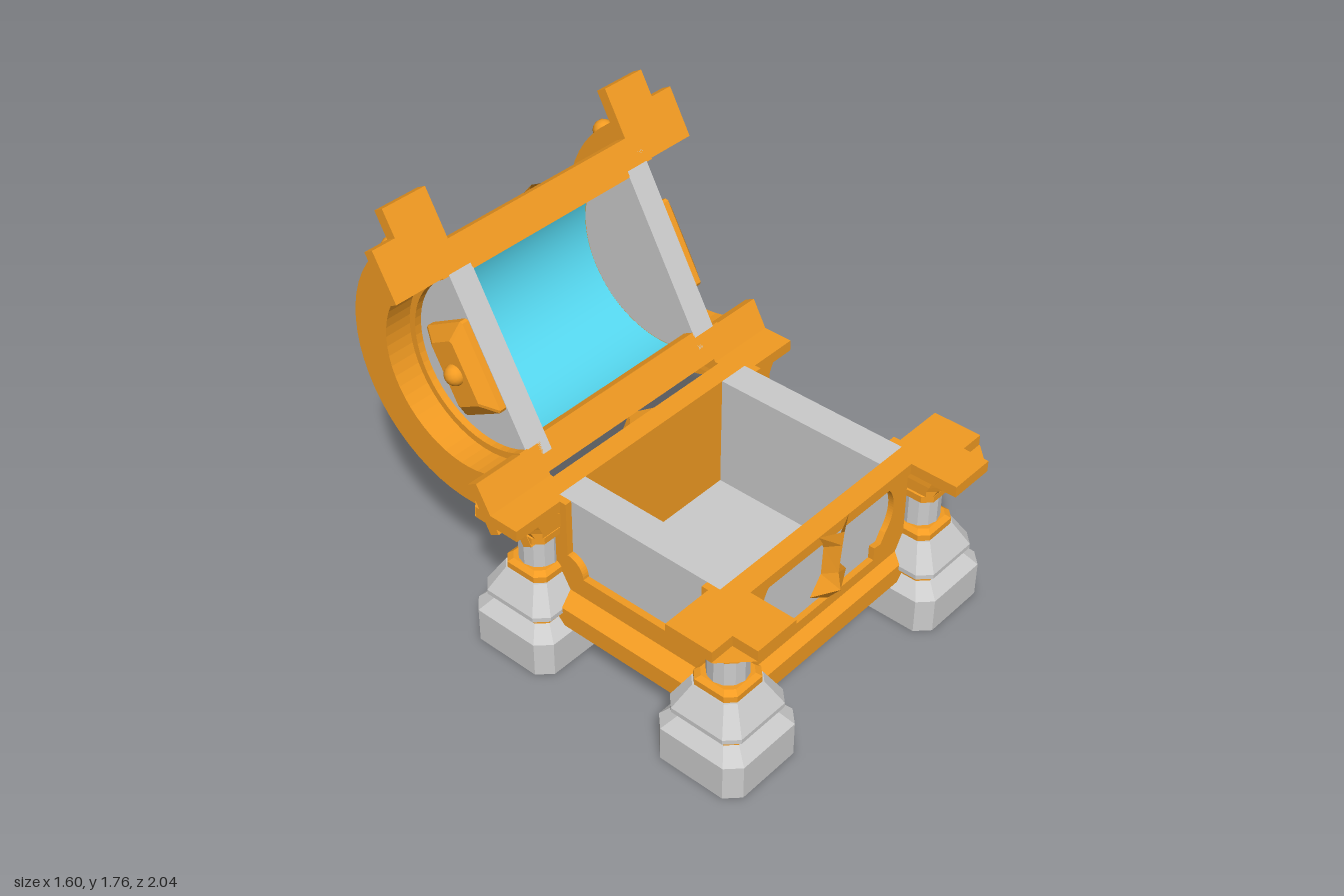
import * as THREE from 'three';

const mat = (color) => new THREE.MeshStandardMaterial({ color, flatShading: true, side: THREE.DoubleSide });

// Stack of chamfered rectangles; ring = [y, halfX, halfZ, chamfer, centreX, centreZ]
function loft(rings, top = true, bottom = true) {
  const loops = rings.map(([y, hx, hz, c = 0.01, cx = 0, cz = 0]) =>
    [[hx, -hz + c], [hx, hz - c], [hx - c, hz], [-hx + c, hz], [-hx, hz - c], [-hx, -hz + c], [-hx + c, -hz], [hx - c, -hz]]
      .map(([x, z]) => [x + cx, y, z + cz]));
  const p = [];
  for (let r = 0; r + 1 < loops.length; r++) {
    for (let i = 0; i < 8; i++) {
      const j = (i + 1) % 8, [a, b] = [loops[r], loops[r + 1]];
      p.push(...a[i], ...b[i], ...b[j], ...a[i], ...b[j], ...a[j]);
    }
  }
  const last = loops[loops.length - 1];
  for (let i = 1; i < 7; i++) {
    if (top) p.push(...last[0], ...last[i + 1], ...last[i]);
    if (bottom) p.push(...loops[0][0], ...loops[0][i], ...loops[0][i + 1]);
  }
  return fromPositions(p);
}

function fromPositions(p) {
  const g = new THREE.BufferGeometry();
  g.setAttribute('position', new THREE.Float32BufferAttribute(p, 3));
  g.computeVertexNormals();
  return g;
}

// Ridged strip; row = [halfWidth, edgeY, edgeZ, ridgeY, ridgeZ], top to bottom
function ridged(rows) {
  const p = [];
  for (let i = 0; i + 1 < rows.length; i++) {
    const [l0, m0, r0, l1, m1, r1] = [rows[i], rows[i + 1]].flatMap(([w, y, z, ry, rz]) => [[-w, y, z], [0, ry, rz], [w, y, z]]);
    for (const [a, b, c, d] of [[l0, l1, m1, m0], [m0, m1, r1, r0]]) p.push(...a, ...b, ...c, ...a, ...c, ...d);
  }
  return fromPositions(p);
}

const polygon = (pts) => new THREE.Shape(pts.map(([x, y]) => new THREE.Vector2(x, y)));
const extrude = (shape, depth, curveSegments = 12) =>
  new THREE.ExtrudeGeometry(shape, { depth, bevelEnabled: false, curveSegments });

// Half ring (or half disc when inner is 0) standing across x from x0 to x1
function halfRing(outer, inner, x0, x1, segments = 14) {
  const s = new THREE.Shape();
  s.absarc(0, 0, outer, 0, Math.PI, false);
  if (inner) s.absarc(0, 0, inner, Math.PI, 0, true);
  return extrude(s, x1 - x0, segments).rotateY(Math.PI / 2).translate(x0, 0, 0);
}

// Rim rail with stepped corner plates, lying on y = 0 at the +z side
function rimGeometry(innerX, inner, thickness) {
  const half = [[innerX, inner], [innerX, 0.365], [0.8, 0.365], [0.8, 0.58], [0.69, 0.58], [0.69, 0.695], [0.48, 0.695], [0.48, 0.485]];
  const pts = [...half, ...half.map(([x, d]) => [-x, d]).reverse()];
  return extrude(polygon(pts), thickness).rotateX(-Math.PI / 2).rotateY(Math.PI);
}

export function createModel() {
  const gold = mat(0xf29b22), grey = mat(0xcccccc);
  const blue = new THREE.MeshStandardMaterial({ color: 0x56d8f0, side: THREE.DoubleSide });
  const model = new THREE.Group();
  const add = (parent, name, geometry, material, x = 0, y = 0, z = 0) => {
    const m = new THREE.Mesh(geometry, material);
    m.name = name;
    m.position.set(x, y, z);
    parent.add(m);
    return m;
  };
  const group = (parent, name) => {
    const g = new THREE.Group();
    g.name = name;
    parent.add(g);
    return g;
  };
  const box = (w, h, d) => new THREE.BoxGeometry(w, h, d);

  // ---- Lower chest ----
  const base = group(model, 'base');
  base.position.z = 0.305;
  add(base, 'floor', box(0.96, 0.03, 0.8), grey, 0, 0.19, 0);
  add(base, 'frontBackSill', loft([[0.16, 0.48, 0.49], [0.18, 0.48, 0.515], [0.265, 0.48, 0.515], [0.3, 0.48, 0.475]], false), gold);
  add(base, 'sideSill', loft([[0.161, 0.61, 0.395], [0.18, 0.64, 0.395], [0.265, 0.64, 0.395], [0.3, 0.57, 0.395]], false), gold);

  // Front frame with a rounded, notched window
  const frame = polygon([[-0.48, 0.16], [0.48, 0.16], [0.48, 0.705], [-0.48, 0.705]]);
  const win = new THREE.Path();
  win.moveTo(-0.29, 0.35);
  win.lineTo(0.29, 0.35);
  win.lineTo(0.29, 0.41);
  win.lineTo(0.33, 0.405);
  win.absarc(0.24, 0.555, 0.158, -0.75, 1.15, false);
  win.absarc(-0.24, 0.555, 0.158, Math.PI - 1.15, Math.PI + 0.75, false);
  win.lineTo(-0.33, 0.405);
  win.lineTo(-0.29, 0.41);
  frame.holes.push(win);
  const frameGeo = extrude(frame, 0.03);

  // Side frame, open at the top, with round lobes in the lower corners
  const sideShape = polygon([[-0.4, 0.16], [0.4, 0.16], [0.4, 0.72], [0.335, 0.72], [0.335, 0.47]]);
  sideShape.absarc(0.335, 0.39, 0.08, Math.PI / 2, Math.PI, false);
  sideShape.absarc(-0.335, 0.39, 0.08, 0, Math.PI / 2, false);
  sideShape.lineTo(-0.335, 0.72);
  sideShape.lineTo(-0.4, 0.72);
  const sideGeo = extrude(sideShape, 0.03, 5).rotateY(Math.PI / 2);

  const claspGeo = ridged([[0.09, 0.72, 0.485, 0.72, 0.535], [0.05, 0.645, 0.48, 0.65, 0.53],
    [0.05, 0.51, 0.475, 0.51, 0.52], [0.11, 0.43, 0.475, 0.43, 0.535], [0, 0.355, 0.475, 0.355, 0.476]]);

  for (const turn of [0, Math.PI]) {
    const wall = group(base, turn ? 'backWall' : 'frontWall');
    wall.rotation.y = turn;
    add(wall, 'innerWall', box(0.96, 0.53, 0.045), gold, 0, 0.435, 0.4175);
    add(wall, 'panel', box(0.84, 0.37, 0.012), grey, 0, 0.515, 0.443);
    add(wall, 'panelFrame', frameGeo, gold, 0, 0, 0.445);
    add(wall, 'rim', rimGeometry(0.54, 0.395, 0.05), gold, 0, 0.67, 0);
    add(wall, 'clasp', claspGeo, gold);

    const side = group(base, turn ? 'rightWall' : 'leftWall');
    side.rotation.y = turn;
    add(side, 'sideWall', box(0.14, 0.52, 0.79), grey, 0.47, 0.46, 0);
    add(side, 'sideFrame', sideGeo, gold, 0.54, 0, 0);
  }

  // ---- Four legs ----
  const footGeo = loft([[0, 0.2, 0.205, 0.055], [0.155, 0.2, 0.205, 0.055], [0.21, 0.15, 0.15, 0.04]], false, false);
  const ankleGeo = loft([[0.2, 0.15, 0.15, 0.04], [0.245, 0.15, 0.15, 0.04]]);
  const skirtGeo = loft([[0.24, 0.172, 0.172, 0.05], [0.26, 0.172, 0.172, 0.05], [0.365, 0.11, 0.11, 0.035]]);
  const collarGeo = loft([[0, 0.105, 0.105, 0.035], [0.03, 0.105, 0.105, 0.035], [0.045, 0.085, 0.085, 0.03]]);
  for (const sx of [-1, 1]) {
    for (const sz of [-1, 1]) {
      const leg = group(base, (sz > 0 ? 'front' : 'back') + (sx > 0 ? 'Left' : 'Right') + 'Leg');
      leg.position.set(sx * 0.583, 0, sz * 0.475);
      add(leg, 'foot', footGeo, grey);
      add(leg, 'ankleRing', ankleGeo, gold);
      add(leg, 'skirt', skirtGeo, grey);
      add(leg, 'lowerCollar', collarGeo, gold, 0, 0.362, 0);
      add(leg, 'post', new THREE.CylinderGeometry(0.082, 0.082, 0.18, 12), grey, 0, 0.48, 0);
      add(leg, 'upperCollar', collarGeo, gold, 0, 0.56, 0);
      add(leg, 'bracket', loft([[0.6, 0.105, 0.11, 0.02], [0.625, 0.11, 0.115, 0.03, sx * 0.005, sz * 0.005],
        [0.65, 0.14, 0.145, 0.08, sx * 0.035, sz * 0.035], [0.672, 0.16, 0.165, 0.11, sx * 0.057, sz * 0.055]]), gold);
    }
  }

  // ---- Open lid, built as if closed and then swung back ----
  const lid = group(model, 'lid');
  lid.position.set(0, 1.155, -0.44);
  lid.rotation.x = -2.083;
  add(lid, 'barrel', new THREE.CylinderGeometry(0.42, 0.42, 0.86, 40, 1, true, 0, Math.PI).rotateZ(Math.PI / 2), blue);

  const studGeo = new THREE.SphereGeometry(0.045, 14, 10);
  const plaqueGeo = loft([[0, 0.115, 0.19], [0.03, 0.115, 0.19], [0.075, 0.065, 0.135]]).rotateZ(-Math.PI / 2);
  const studMat = new THREE.MeshStandardMaterial({ color: 0xf29b22 });
  for (const turn of [0, Math.PI]) {
    add(lid, turn ? 'backRim' : 'frontRim', rimGeometry(0.43, 0.34, 0.05), gold).rotation.y = turn;
    const end = group(lid, turn ? 'rightEnd' : 'leftEnd');
    end.rotation.y = turn;
    add(end, 'endPanel', halfRing(0.415, 0, 0.427, 0.54, 24), grey);
    add(end, 'innerTrim', halfRing(0.445, 0.405, 0.43, 0.49, 20), gold);
    add(end, 'archLip', halfRing(0.4, 0.36, 0.53, 0.57), gold);
    add(end, 'arch', halfRing(0.56, 0.39, 0.48, 0.69), gold);
    add(end, 'plaque', plaqueGeo, gold, 0.54, 0.118, 0);
    add(end, 'plaqueStud', studGeo, studMat, 0.612, 0.118, 0);
    for (const deg of [23, 67, 113, 157]) {
      const a = THREE.MathUtils.degToRad(deg);
      add(end, 'archStud', studGeo, studMat, 0.575, 0.56 * Math.sin(a), 0.56 * Math.cos(a));
    }
  }

  // Clasp tail curving up over the barrel
  const tail = [[0, 42, 0.425, 0.43], [0.075, 31, 0.43, 0.475], [0.03, 19, 0.43, 0.475], [0.04, 13, 0.44, 0.485], [0.09, 5, 0.475, 0.5]];
  add(lid, 'lidClasp', ridged(tail.map(([w, deg, r, ridge]) => {
    const a = THREE.MathUtils.degToRad(deg);
    return [w, r * Math.sin(a), r * Math.cos(a), ridge * Math.sin(a), ridge * Math.cos(a)];
  })), gold);

  return model;
}
